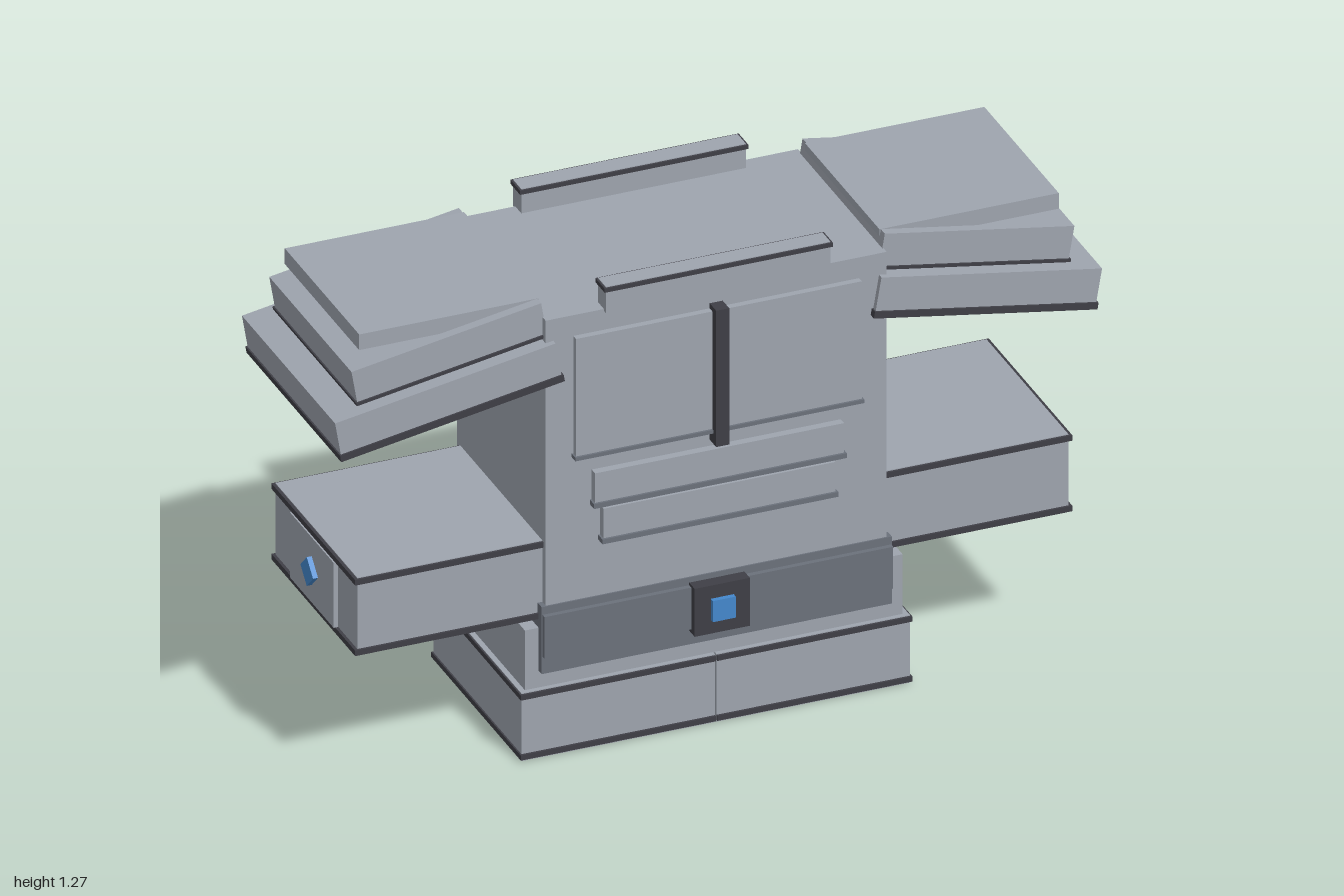
import * as THREE from 'three';

const mat = (name, color) => Object.assign(new THREE.MeshStandardMaterial({ color }), { name });

export function createModel() {
  const grey = mat('light grey', 0x9ea4ae);
  const midGrey = mat('mid grey', 0x6b717b);
  const dark = mat('charcoal', 0x3f3f46);
  const blue = mat('blue', 0x4488cc);
  const model = new THREE.Group();

  // Box given by its limits on each axis
  function box(name, material, [x0, x1], [y0, y1], [z0, z1], parent = model) {
    const m = new THREE.Mesh(new THREE.BoxGeometry(x1 - x0, y1 - y0, z1 - z0), material);
    m.position.set((x0 + x1) / 2, (y0 + y1) / 2, (z0 + z1) / 2);
    m.name = name;
    parent.add(m);
    return m;
  }

  // Torso and chest plates
  box('torso', grey, [-0.445, 0.445], [0.25, 1.2], [-0.287, 0.267]);
  box('chestPlate', grey, [-0.373, 0.373], [0.82, 1.143], [0.26, 0.284]);
  box('chestPlateLedge', midGrey, [-0.377, 0.377], [0.81, 0.82], [0.26, 0.29]);
  box('chestBar', dark, [-0.017, 0.017], [0.782, 1.157], [0.26, 0.308]);
  box('backPlate', grey, [-0.362, 0.362], [0.745, 1.143], [-0.311, -0.28]);
  box('backPlateLedge', midGrey, [-0.367, 0.367], [0.735, 0.748], [-0.316, -0.28]);

  // Stomach strips with a small ledge below each
  for (const [w, y0, y1] of [[0.325, 0.675, 0.765], [0.303, 0.573, 0.663]]) {
    box('stomachStrip', grey, [-w, w], [y0, y1], [0.26, 0.288]);
    box('stomachLedge', midGrey, [-w - 0.005, w + 0.005], [y0 - 0.004, y0 + 0.009], [0.26, 0.294]);
  }

  // Collar rails, front and back
  for (const [z0, z1] of [[0.23, 0.279], [-0.301, -0.249]]) {
    box('collarRail', grey, [-0.293, 0.293], [1.195, 1.267], [z0, z1]);
    box('collarTrim', dark, [-0.298, 0.298], [1.254, 1.265], [z0 - 0.005, z1 + 0.005]);
  }

  // Waist, belt and buckle
  box('waist', grey, [-0.493, 0.493], [0.17, 0.35], [-0.272, 0.252]);
  box('belt', midGrey, [-0.457, 0.457], [0.232, 0.416], [-0.291, 0.271]);
  box('beltBand', midGrey, [-0.455, 0.455], [0.28, 0.395], [-0.303, 0.284]);
  box('buckle', dark, [-0.072, 0.072], [0.27, 0.402], [0.27, 0.305]);
  box('buckleGem', blue, [-0.03, 0.03], [0.308, 0.366], [0.3, 0.318]);

  for (const side of [1, -1]) {
    const span = (a, b) => (side > 0 ? [a, b] : [-b, -a]);
    const word = side > 0 ? 'left' : 'right';

    // Leg block with trim bands around it
    const leg = new THREE.Group();
    leg.name = word + 'Leg';
    model.add(leg);
    box('legBlock', grey, span(0.002, 0.507), [0, 0.186], [-0.285, 0.264], leg);
    for (const y of [0.005, 0.17])
      box('legTrim', dark, span(0.002, 0.511), [y, y + 0.014], [-0.29, 0.27], leg);

    // Arm with trim bands, end plate and diamond
    const arm = new THREE.Group();
    arm.name = word + 'Arm';
    model.add(arm);
    box('armBlock', grey, span(0.42, 0.928), [0.372, 0.585], [-0.266, 0.246], arm);
    for (const y of [0.374, 0.568])
      box('armTrim', dark, span(0.42, 0.936), [y, y + 0.015], [-0.271, 0.252], arm);
    box('armEndPlate', grey, span(0.92, 0.94), [0.389, 0.568], [-0.147, 0.127], arm);
    const gem = box('armGem', blue, span(0.93, 0.953), [0.449, 0.505], [-0.038, 0.018], arm);
    gem.rotation.x = Math.PI / 4;

    // Two tilted shoulder slabs on dark base plates, and a level cap
    const shoulder = new THREE.Group();
    shoulder.name = word + 'Shoulder';
    model.add(shoulder);
    const slabs = [
      [0.704, 1.039, 0.584, 0.108, 0.018, [-0.3, 0.282]],
      [0.688, 1.15, 0.502, 0.095, 0.008, [-0.267, 0.247]],
    ];
    for (const [x, y, len, h, base, [z0, z1]] of slabs) {
      const slab = new THREE.Group();
      slab.name = 'shoulderSlab';
      slab.position.set(side * x, y, 0);
      slab.rotation.z = -side * 0.168;
      shoulder.add(slab);
      const half = len / 2;
      box('slabBlock', grey, [-half, half], [-h / 2 + base, h / 2], [z0, z1], slab);
      box('slabBase', dark, [-half - 0.004, half + 0.004], [-h / 2, -h / 2 + base], [z0 - 0.005, z1 + 0.005], slab);
    }
    box('shoulderCap', grey, span(0.445, 0.913), [1.196, 1.239], [-0.243, 0.222], shoulder);
  }
  return model;
}
